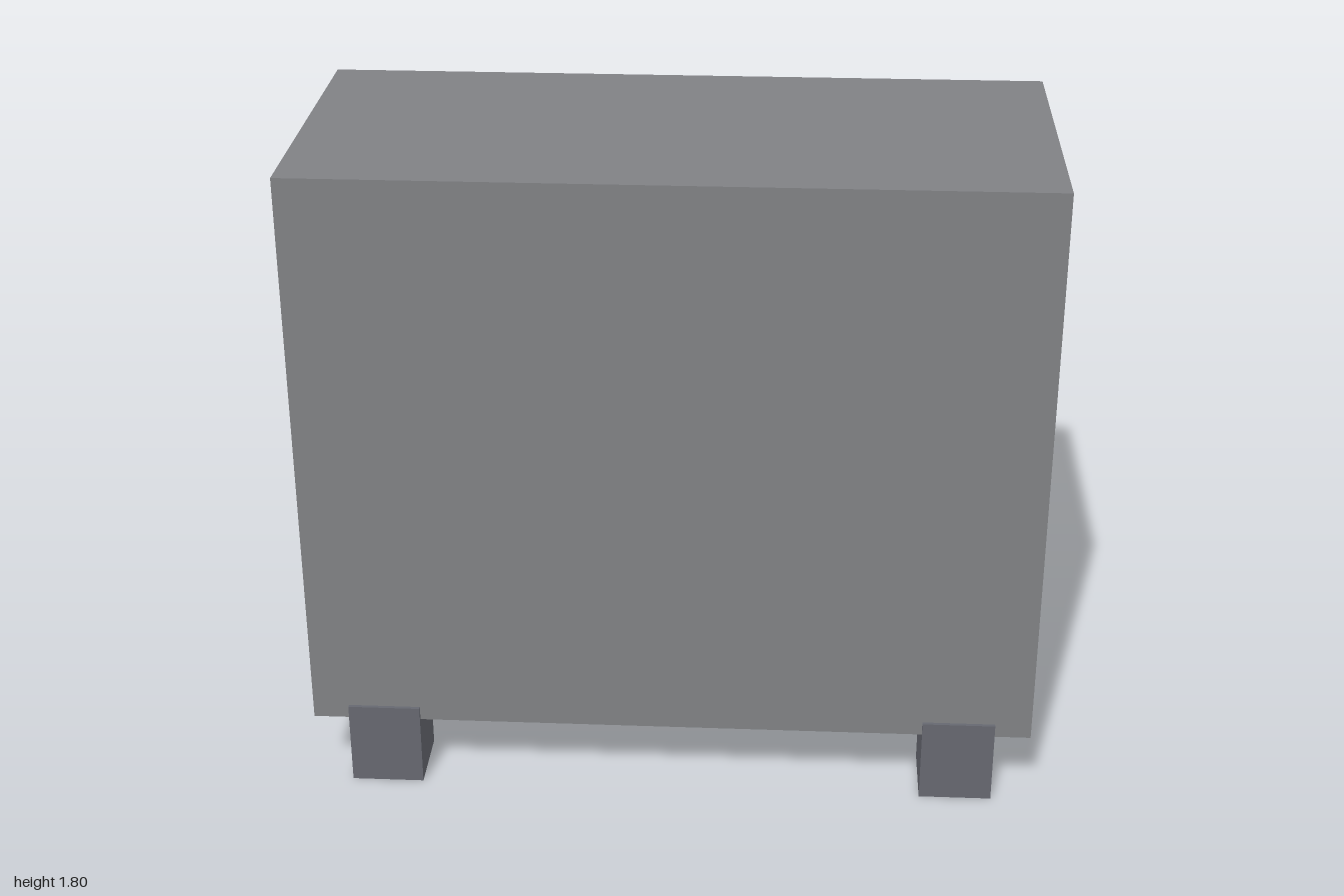
import * as THREE from 'three';
import { mergeVertices } from 'three/addons/utils/BufferGeometryUtils.js';

const paint = (color) => new THREE.MeshStandardMaterial({ color });

function box(name, w, h, d, x, y, z, material) {
  const mesh = new THREE.Mesh(new THREE.BoxGeometry(w, h, d), material);
  mesh.name = name;
  mesh.position.set(x, y, z);
  return mesh;
}

// 16-sided disc facing -z, with normals blended across the rim
function disc(name, radius, zFront, zBack, material) {
  let geometry = new THREE.CylinderGeometry(radius, radius, zFront - zBack, 16);
  geometry.rotateX(-Math.PI / 2);
  geometry.deleteAttribute('normal');
  geometry.deleteAttribute('uv');
  geometry = mergeVertices(geometry);
  geometry.computeVertexNormals();
  const mesh = new THREE.Mesh(geometry, material);
  mesh.name = name;
  mesh.position.set(0, 1.1, (zFront + zBack) / 2);
  return mesh;
}

export function createModel() {
  const model = new THREE.Group();
  model.name = 'fanUnit';

  // Cabinet
  model.add(box('cabinet', 2, 1.6, 0.9, 0, 1, 0.08, paint(0x808184)));

  // Fan on the back
  model.add(disc('fanDisc', 0.6, -0.36, -0.46, paint(0x454449)));
  model.add(disc('fanHub', 0.12, -0.44, -0.54, paint(0x6b7076)));

  // Four feet, standing slightly proud of the cabinet faces
  const footMaterial = paint(0x666870);
  for (const x of [-0.8, 0.8]) {
    for (const z of [0.44, -0.28]) {
      const name = (z > 0 ? 'front' : 'back') + (x > 0 ? 'Left' : 'Right') + 'Foot';
      model.add(box(name, 0.2, 0.24, 0.2, x, 0.12, z, footMaterial));
    }
  }
  return model;
}
